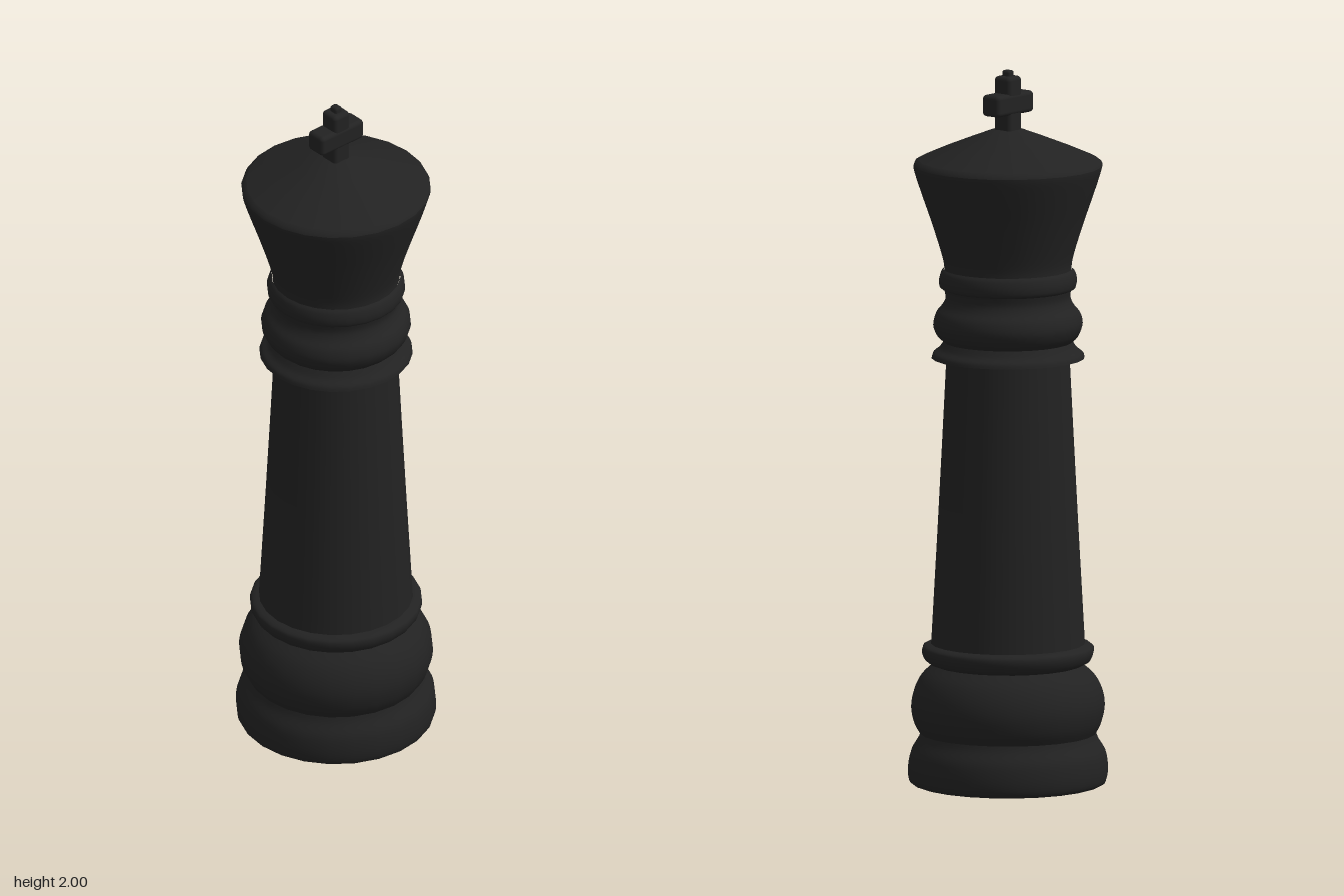
import * as THREE from 'three';
import { RoundedBoxGeometry } from 'three/addons/geometries/RoundedBoxGeometry.js';

const SIDES = 24;

export function createModel() {
  const group = new THREE.Group();
  const material = new THREE.MeshStandardMaterial({ color: 0x222222 });

  function add(name, geometry, y = 0) {
    const mesh = new THREE.Mesh(geometry, material);
    mesh.name = name;
    mesh.position.y = y;
    group.add(mesh);
  }

  // Turned part from [radius, height] points, bottom to top; smooth ones become a curve
  function turned(name, profile, smooth = false) {
    let points = profile.map(([r, y]) => new THREE.Vector2(r, y));
    if (smooth) points = new THREE.SplineCurve(points).getPoints(profile.length * 3);
    add(name, new THREE.LatheGeometry(points, SIDES));
  }

  // Foot and lower mouldings
  turned('baseUnderside', [[0, 0.005], [0.255, 0.005]]);
  turned('base', [[0.255, 0.005], [0.272, 0.015], [0.277, 0.05], [0.27, 0.095], [0.25, 0.13], [0.243, 0.148]], true);
  turned('baseBulge', [[0.243, 0.148], [0.26, 0.18], [0.268, 0.225], [0.26, 0.27], [0.238, 0.31], [0.205, 0.34]], true);
  turned('baseRing', [[0.205, 0.34], [0.226, 0.35], [0.237, 0.37], [0.237, 0.387], [0.228, 0.395], [0.213, 0.399]], true);

  // Tapered shaft
  turned('shaft', [[0.213, 0.395], [0.195, 0.72], [0.182, 0.97], [0.17, 1.21]]);

  // Flared collar and neck rings
  turned('collarUnderside', [[0.165, 1.205], [0.212, 1.197]]);
  turned('collar', [[0.212, 1.197], [0.207, 1.21], [0.19, 1.224], [0.178, 1.242]], true);
  turned('neckBulge', [[0.178, 1.242], [0.196, 1.26], [0.207, 1.29], [0.2, 1.32], [0.182, 1.343], [0.173, 1.365], [0.176, 1.388]], true);
  turned('neckRing', [[0.176, 1.388], [0.188, 1.395], [0.191, 1.415], [0.186, 1.435], [0.178, 1.445]], true);

  // Flared head and domed cap
  turned('head', [[0.176, 1.44], [0.178, 1.465], [0.19, 1.51], [0.214, 1.585], [0.24, 1.66], [0.258, 1.715], [0.262, 1.735]], true);
  turned('headRim', [[0.262, 1.735], [0.258, 1.744], [0.248, 1.75]]);
  turned('cap', [[0.248, 1.75], [0.18, 1.78], [0.1, 1.812], [0.045, 1.833], [0, 1.838]]);

  // Cross on top
  add('crossPost', new RoundedBoxGeometry(0.058, 0.17, 0.058, 3, 0.012), 1.899);
  add('crossBar', new RoundedBoxGeometry(0.156, 0.06, 0.062, 3, 0.012), 1.907);
  add('crossTip', new RoundedBoxGeometry(0.024, 0.035, 0.028, 2, 0.007), 1.9825);

  return group;
}
